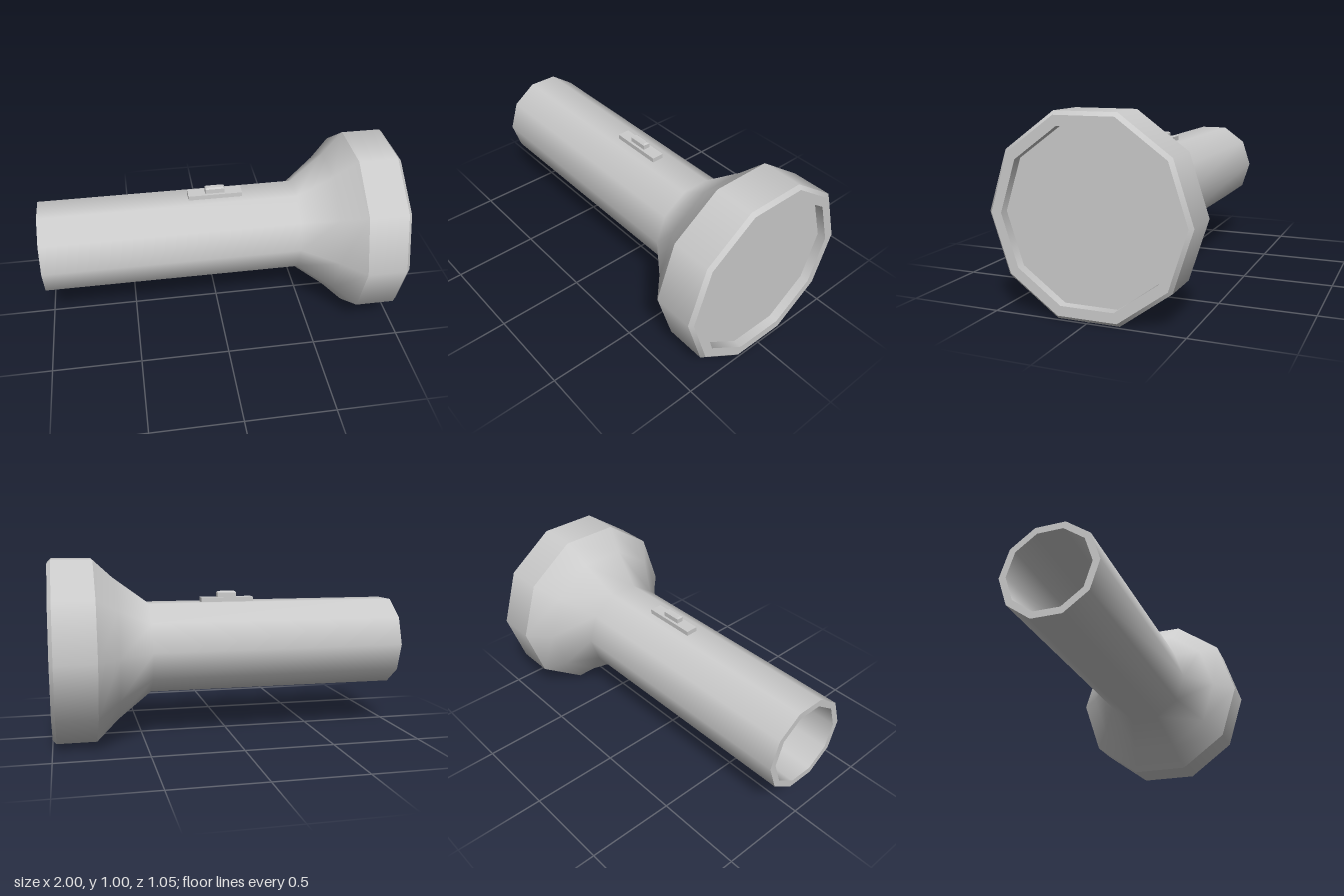
import * as THREE from 'three';

const AXIS_Y = 0.501;
const SIDES = 10;

export function createModel() {
  const model = new THREE.Group();
  const material = new THREE.MeshStandardMaterial({ color: 0xcccccc });
  const lensMaterial = new THREE.MeshStandardMaterial({ color: 0xcccccc, side: THREE.DoubleSide });

  const add = (name, geometry, x, y, z, mat = material) => {
    const mesh = new THREE.Mesh(geometry, mat);
    mesh.name = name;
    mesh.position.set(x, y, z);
    model.add(mesh);
    return mesh;
  };

  // Ten-sided ring along x; profile points are [x, radius].
  // Running towards +x faces outward, towards -x faces inward.
  const turned = (name, profile) => {
    const points = profile.map(([x, r]) => new THREE.Vector2(r, x));
    const geometry = new THREE.LatheGeometry(points, SIDES);
    geometry.rotateZ(-Math.PI / 2);
    add(name, geometry, 0, AXIS_Y, 0);
  };

  // Outer casing, split where its edges are sharp
  turned('barrelAndFlare', [[-1, 0.263], [0.45, 0.263], [0.64, 0.41], [0.76, 0.527]]);
  turned('headBand', [[0.76, 0.527], [0.98, 0.527]]);
  turned('headChamfer', [[0.98, 0.527], [1, 0.507]]);
  turned('headRim', [[1, 0.507], [1, 0.453]]);
  turned('lensRecess', [[1, 0.453], [0.95, 0.453]]);

  // Hollow inside, open at the tail
  turned('headInside', [[0.95, 0.453], [0.76, 0.453], [0.47, 0.225]]);
  turned('barrelInside', [[0.47, 0.225], [-1, 0.225]]);
  turned('tailRim', [[-1, 0.225], [-1, 0.263]]);

  // Lens
  const lens = new THREE.CircleGeometry(0.453, SIDES);
  lens.rotateY(Math.PI / 2);
  add('lens', lens, 0.95, AXIS_Y, 0, lensMaterial);

  // Switch plate, sunk slightly into the barrel
  add('switchPlate', new THREE.BoxGeometry(0.305, 0.04, 0.07), -0.008, 0.757, -0.002);

  // Switch button with a chamfered top
  const bevel = 0.008;
  const w = 0.11 / 2 - bevel, d = 0.04 / 2 - bevel;
  const outline = new THREE.Shape([
    new THREE.Vector2(-w, -d), new THREE.Vector2(w, -d),
    new THREE.Vector2(w, d), new THREE.Vector2(-w, d),
  ]);
  const button = new THREE.ExtrudeGeometry(outline, {
    depth: 0.034, bevelEnabled: true, bevelSegments: 1, bevelSize: bevel, bevelThickness: bevel,
  });
  button.rotateX(-Math.PI / 2);
  add('switchButton', button, -0.008, 0.769, -0.002);

  return model;
}
